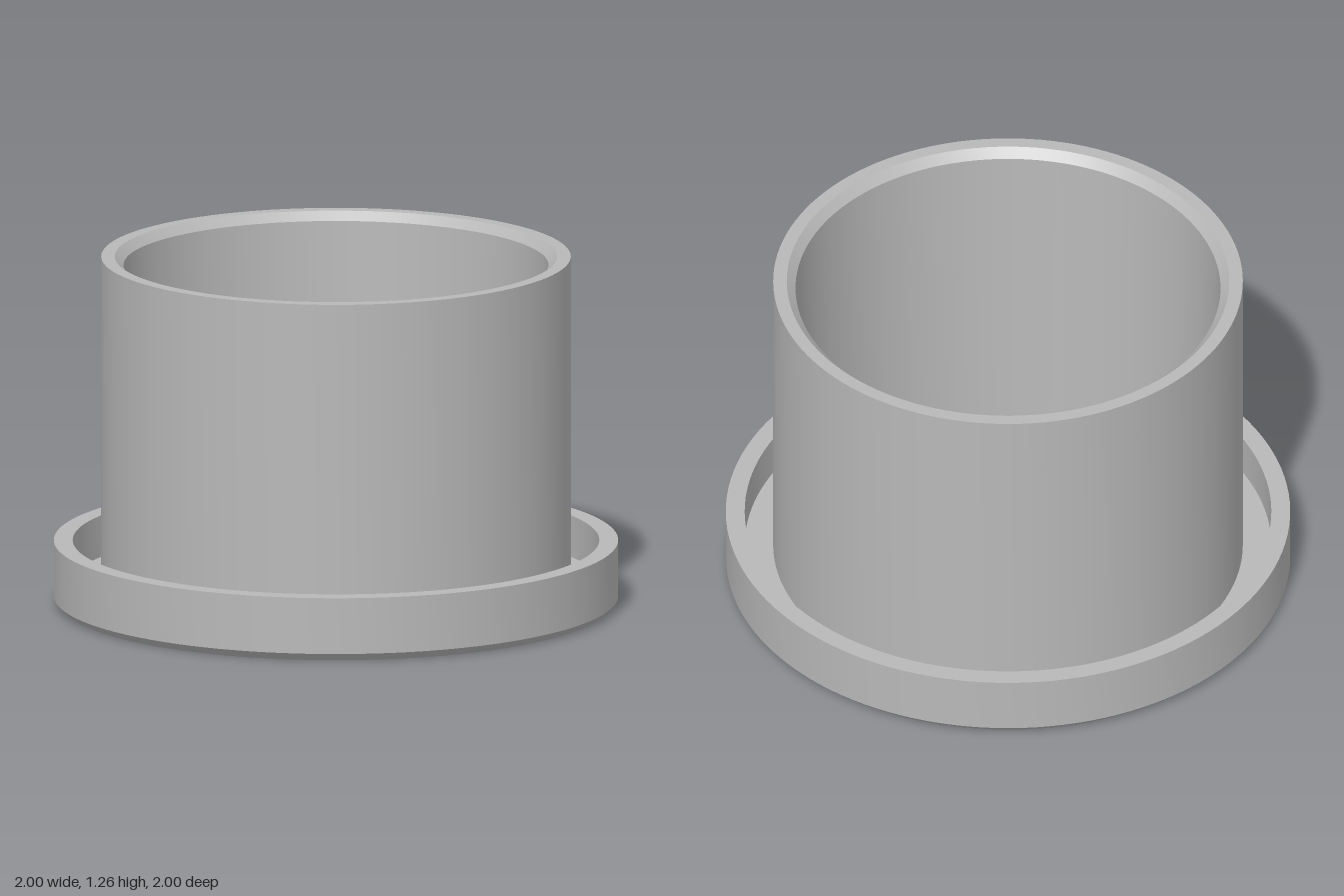
import * as THREE from 'three';
import { toCreasedNormals } from 'three/addons/utils/BufferGeometryUtils.js';

const FLOOR = 0.08;

// Revolve a profile, keeping its corners sharp and its round sides smooth
function turned(name, profile, material) {
  const points = profile.map(([r, y]) => new THREE.Vector2(r, y));
  const geometry = toCreasedNormals(new THREE.LatheGeometry(points, 128), 0.3);
  const mesh = new THREE.Mesh(geometry, material);
  mesh.name = name;
  return mesh;
}

export function createModel() {
  const model = new THREE.Group();
  model.name = 'cupOnDish';
  const grey = new THREE.MeshStandardMaterial({ color: 0xb8b8b8 });
  grey.name = 'plain grey';

  // Shallow dish with a chamfered foot and a raised rim
  model.add(turned('dish', [
    [0, 0], [0.972, 0], [1, 0.028], [1, 0.23],
    [0.933, 0.23], [0.933, FLOOR], [0, FLOOR],
  ], grey));

  // Cup wall: straight outside, chamfered lip, slightly tapered inside
  model.add(turned('cupWall', [
    [0.832, FLOOR], [0.832, 1.257], [0.784, 1.257],
    [0.753, 1.226], [0.72, FLOOR],
  ], grey));

  // Small stepped point in the middle of the cup floor
  model.add(turned('centrePoint', [
    [0.07, FLOOR], [0.045, 0.115], [0.025, 0.17], [0, 0.17],
  ], grey));

  return model;
}
